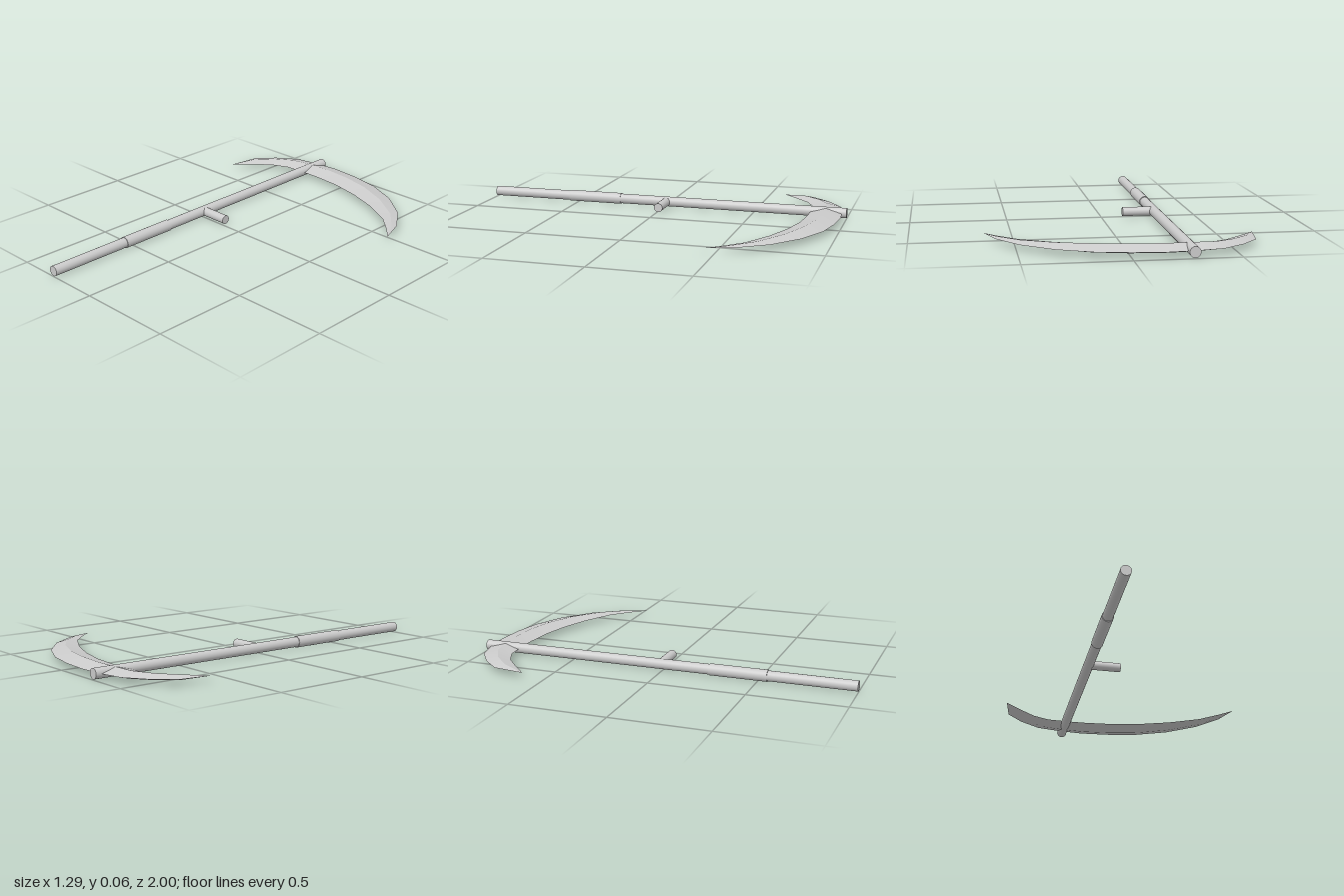
import * as THREE from 'three';
import { toCreasedNormals } from 'three/addons/utils/BufferGeometryUtils.js';

const Y = 0.032; // height of the centre plane
const SHAFT_X = -0.279;
const material = new THREE.MeshStandardMaterial({ color: 0xcccccc });

// Blade stations: outer x, z, inner x, z, half thickness at the ridge
const STATIONS = [
  [-0.648, -0.606, -0.648, -0.606, 0],
  [-0.622, -0.775, -0.553, -0.696, 0.013],
  [-0.537, -0.870, -0.474, -0.765, 0.016],
  [-0.426, -0.947, -0.384, -0.804, 0.019],
  [-0.304, -0.971, -0.262, -0.810, 0.022],
  [-0.161, -0.984, -0.161, -0.810, 0.0225],
  [0.000, -0.971, 0.000, -0.796, 0.0225],
  [0.161, -0.939, 0.161, -0.759, 0.021],
  [0.336, -0.860, 0.320, -0.701, 0.017],
  [0.489, -0.738, 0.479, -0.616, 0.011],
  [0.590, -0.595, 0.579, -0.521, 0.006],
  [0.638, -0.452, 0.638, -0.452, 0],
];

function bladeGeometry() {
  const positions = [];
  // Diamond section: outer edge, top ridge, inner edge, bottom ridge
  for (const [ox, oz, ix, iz, h] of STATIONS) {
    const mx = (ox + ix) / 2, mz = (oz + iz) / 2;
    positions.push(ox, 0, oz, mx, h, mz, ix, 0, iz, mx, -h, mz);
  }
  const index = [];
  const last = STATIONS.length - 2;
  for (let i = 0; i <= last; i++) {
    for (let j = 0; j < 4; j++) {
      const a = i * 4 + j, b = i * 4 + (j + 1) % 4, c = a + 4, d = b + 4;
      if (i > 0) index.push(a, b, c);
      if (i < last) index.push(b, d, c);
    }
  }
  const geometry = new THREE.BufferGeometry();
  geometry.setAttribute('position', new THREE.Float32BufferAttribute(positions, 3));
  geometry.setIndex(index);
  return toCreasedNormals(geometry, 0.35);
}

// Closed rod running along x or z
function rod(name, radius, length, axis, x, z) {
  const geometry = new THREE.CylinderGeometry(radius, radius, length, 32);
  if (axis === 'x') geometry.rotateZ(-Math.PI / 2);
  else geometry.rotateX(Math.PI / 2);
  const mesh = new THREE.Mesh(geometry, material);
  mesh.name = name;
  mesh.position.set(x, Y, z);
  return mesh;
}

export function createModel() {
  const group = new THREE.Group();
  group.name = 'scythe';

  const blade = new THREE.Mesh(bladeGeometry(), material);
  blade.name = 'blade';
  blade.position.y = Y;

  group.add(
    rod('shaft', 0.0265, 2, 'z', SHAFT_X, 0),
    rod('gripSleeve', 0.03, 0.3, 'z', SHAFT_X, 0.4),
    rod('sideHandle', 0.0235, 0.17, 'x', -0.195, -0.013),
    blade,
  );
  return group;
}
